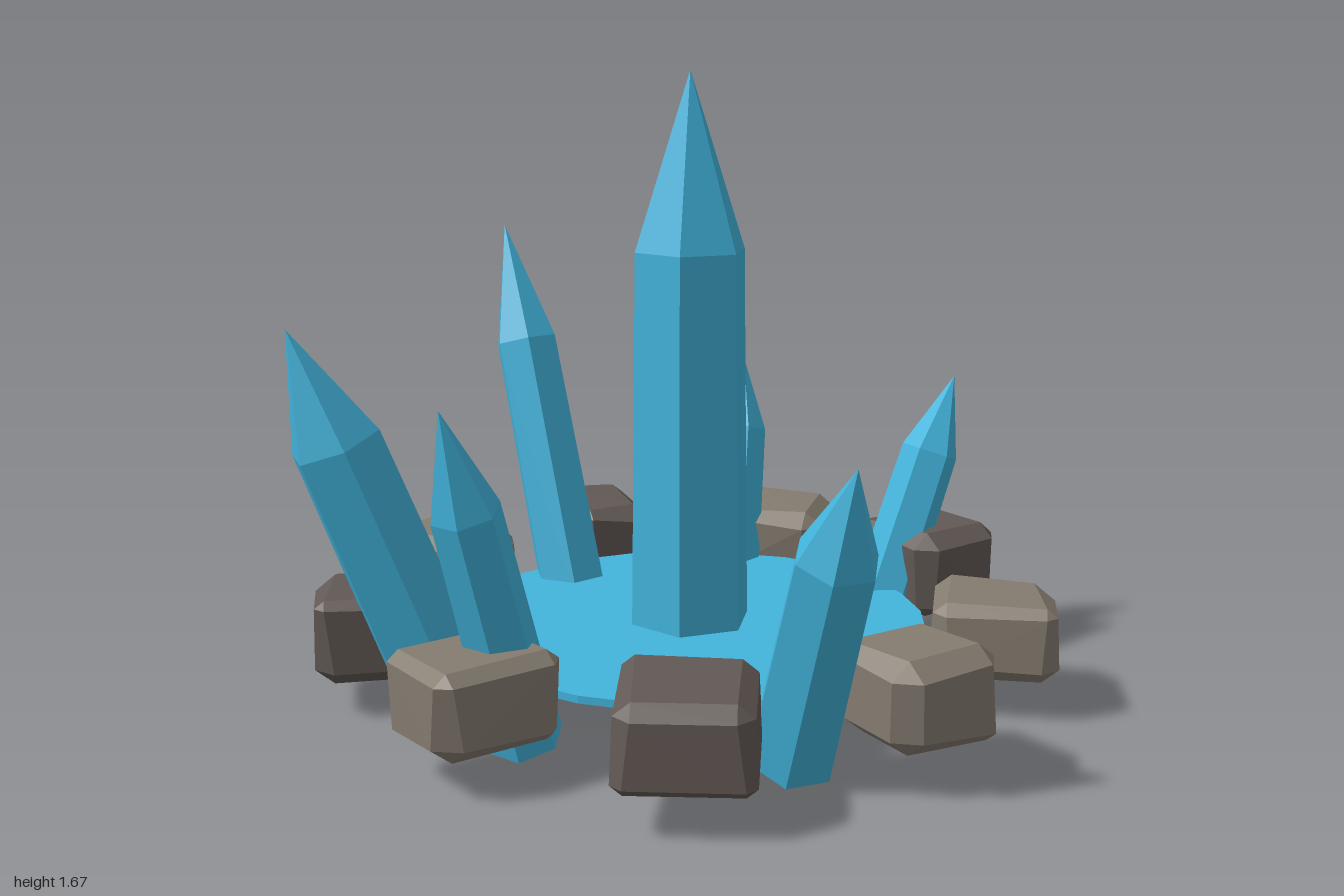
import * as THREE from 'three';
import { ConvexGeometry } from 'three/addons/geometries/ConvexGeometry.js';

const material = (name, color) => {
  const m = new THREE.MeshStandardMaterial({ color });
  m.name = name;
  return m;
};

const flat = (geometry) => {
  const g = geometry.toNonIndexed();
  g.computeVertexNormals();
  return g;
};

// Small seeded generator for the uneven rock corners
function seeded(seed) {
  let s = seed * 7919 + 17;
  return () => ((s = (s * 16807) % 2147483647) / 2147483647);
}

// Six-sided prism with a pointed tip, slightly narrower at the shoulder
function crystalGeometry(radius, length) {
  const profile = [[0, 0], [radius, 0], [radius * 0.91, length * 0.708], [0, length]];
  return flat(new THREE.LatheGeometry(profile.map(([x, y]) => new THREE.Vector2(x, y)), 6));
}

// Convex box with bevelled, irregular corners
function rockGeometry(l, h, w, seed) {
  const rand = seeded(seed);
  rand();
  const points = [];
  for (const sx of [-1, 1]) for (const sy of [-1, 1]) for (const sz of [-1, 1]) {
    const bevel = 0.025 + rand() * 0.035;
    const shrink = 1 - rand() * 0.09;
    for (let axis = 0; axis < 3; axis++) {
      const inset = [0, 1, 2].map((a) => (a === axis ? 0 : bevel * (a === 1 ? 0.8 : 1)));
      points.push(new THREE.Vector3(
        sx * (l / 2 * shrink - inset[0]),
        sy * (h / 2 * shrink - inset[1]),
        sz * (w / 2 * shrink - inset[2])));
    }
  }
  return new ConvexGeometry(points);
}

export function createModel() {
  const model = new THREE.Group();
  model.name = 'crystalCluster';
  const blue = material('crystalBlue', 0x42b4dc);
  const lightStone = material('lightStone', 0x857c70);
  const darkStone = material('darkStone', 0x625955);

  const add = (name, geometry, mat) => {
    const mesh = new THREE.Mesh(geometry, mat);
    mesh.name = name;
    model.add(mesh);
    return mesh;
  };

  // Thin round plate
  add('basePlate', flat(new THREE.CylinderGeometry(0.645, 0.645, 0.02, 24)), blue)
    .position.set(-0.008, 0.175, 0);

  // Upright main crystal
  add('mainCrystal', crystalGeometry(0.17, 1.61), blue).position.set(-0.007, 0.06, 0);

  // Leaning crystals: base point, tip point, radius
  const crystals = [
    [[-0.59, 0.045, 0.34], [-0.92, 1.05, 0.54], 0.135],
    [[-0.40, 0.04, -0.32], [-0.67, 1.2, -0.545], 0.105],
    [[-0.32, 0.04, 0.57], [-0.445, 0.92, 0.81], 0.095],
    [[0.34, 0.04, 0.56], [0.51, 0.83, 0.83], 0.115],
    [[0.46, 0.035, -0.38], [0.68, 0.78, -0.56], 0.09],
    [[0.012, 0.04, -0.56], [0.02, 0.77, -0.815], 0.09],
  ];
  crystals.forEach(([from, to, radius], i) => {
    const base = new THREE.Vector3(...from);
    const lean = new THREE.Vector3(...to).sub(base);
    const geometry = crystalGeometry(radius, lean.length());
    geometry.rotateY(-Math.atan2(lean.z, lean.x));
    const mesh = add('leaningCrystal' + (i + 1), geometry, blue);
    mesh.position.copy(base);
    mesh.quaternion.setFromUnitVectors(new THREE.Vector3(0, 1, 0), lean.normalize());
  });

  // Ring of rocks: x, y, z, bearing in degrees, length, height, width, material
  const rocks = [
    [0.82, 0.205, -0.005, 0, 0.345, 0.215, 0.34, lightStone],
    [0.63, 0.22, 0.525, 45, 0.31, 0.25, 0.33, lightStone],
    [0.13, 0.21, 0.81, 83, 0.385, 0.22, 0.34, darkStone],
    [-0.41, 0.205, 0.71, 132, 0.35, 0.235, 0.3, lightStone],
    [-0.80, 0.205, 0.26, 160, 0.36, 0.24, 0.32, darkStone],
    [-0.78, 0.215, -0.29, 205, 0.35, 0.23, 0.3, lightStone],
    [-0.415, 0.215, -0.705, 239, 0.38, 0.24, 0.25, darkStone],
    [0.145, 0.21, -0.805, 277, 0.385, 0.22, 0.33, lightStone],
    [0.615, 0.225, -0.525, 313, 0.33, 0.26, 0.33, darkStone],
  ];
  rocks.forEach(([x, y, z, bearing, l, h, w, mat], i) => {
    const rock = add('rock' + (i + 1), rockGeometry(l, h, w, i + 3), mat);
    rock.position.set(x, y, z);
    rock.rotation.y = -THREE.MathUtils.degToRad(bearing);
  });

  return model;
}
